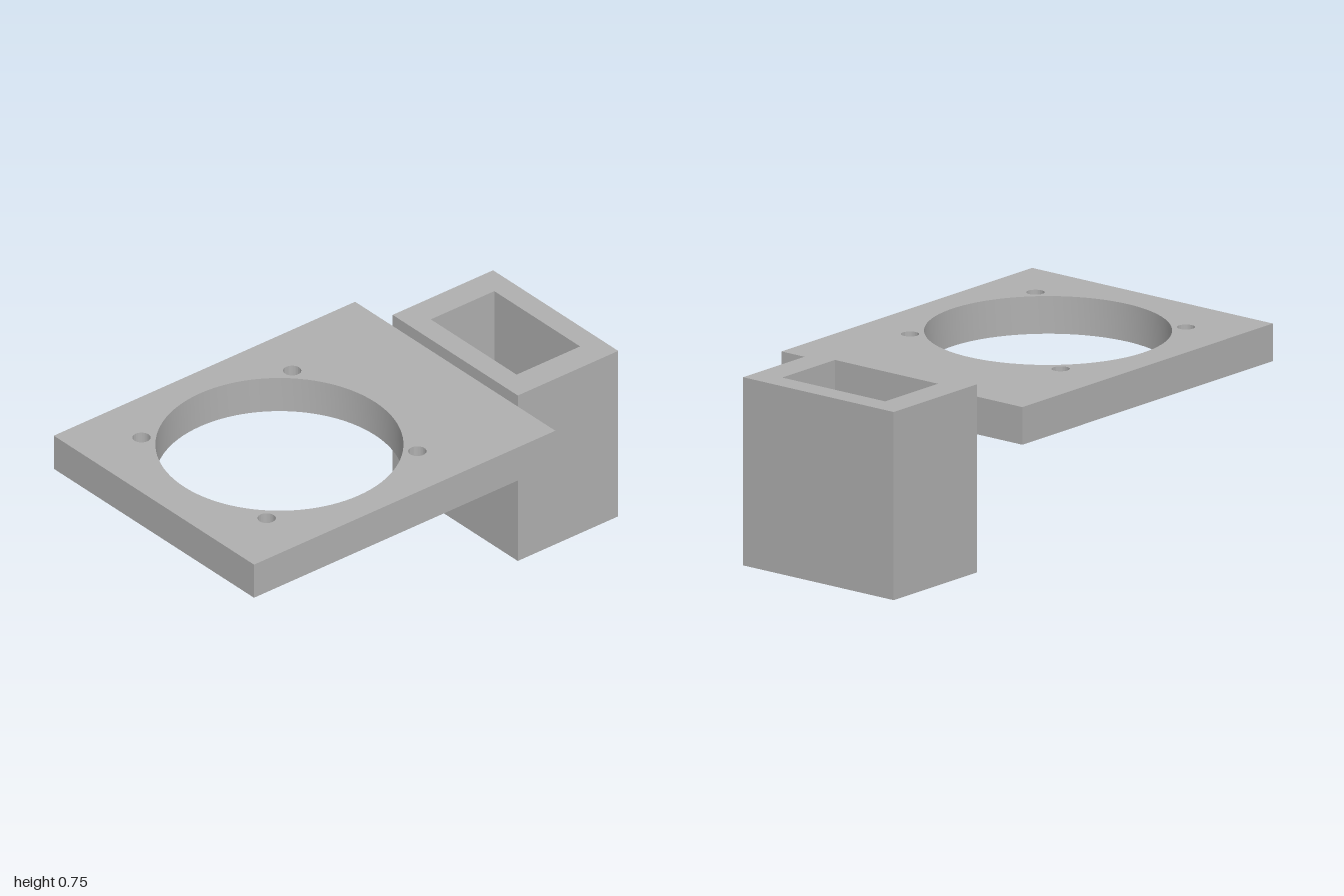
import * as THREE from 'three';
import { toCreasedNormals } from 'three/addons/utils/BufferGeometryUtils.js';

const grey = new THREE.MeshStandardMaterial({ color: 0xb0b0b0 });
grey.name = 'grey';

function polygon(points) {
  return new THREE.Shape(points.map(([x, y]) => new THREE.Vector2(x, y)));
}

function rectangle(x0, y0, x1, y1) {
  return polygon([[x0, y0], [x1, y0], [x1, y1], [x0, y1]]);
}

function drill(shape, x, y, radius) {
  shape.holes.push(new THREE.Path().absarc(x, y, radius, 0, Math.PI * 2, true));
}

function extrude(shape, depth) {
  return new THREE.ExtrudeGeometry(shape, { depth, bevelEnabled: false, curveSegments: 48 });
}

// Extrudes a plan drawn in x and z between two heights
function extrudePlan(shape, bottom, top) {
  return extrude(shape, top - bottom).rotateX(Math.PI / 2).translate(0, top, 0);
}

function part(name, geometry) {
  const mesh = new THREE.Mesh(toCreasedNormals(geometry, 0.5), grey);
  mesh.name = name;
  return mesh;
}

export function createModel() {
  const model = new THREE.Group();
  model.name = 'mountingBracket';

  // Flat plate with a large opening and four screw holes
  const plate = rectangle(-0.6, -0.5, 0.6, 1);
  drill(plate, 0, 0.375, 0.475);
  for (const x of [-0.375, 0.375]) {
    for (const z of [0, 0.75]) drill(plate, x, z, 0.035);
  }
  model.add(part('mountingPlate', extrudePlan(plate, 0.55, 0.7)));

  // Rectangular sleeve, open at top and bottom
  const sleeve = new THREE.Group();
  sleeve.name = 'sleeve';
  const w = 0.375, innerW = 0.257, back = -1, innerBack = -0.908, innerFront = -0.592, front = -0.5;

  // Back and side walls
  const walls = polygon([
    [-w, back], [w, back], [w, innerFront], [innerW, innerFront],
    [innerW, innerBack], [-innerW, innerBack], [-innerW, innerFront], [-w, innerFront],
  ]);
  sleeve.add(part('sleeveBackAndSides', extrudePlan(walls, 0, 0.75)));

  // Front wall with a set-screw hole into the cavity
  const frontWall = rectangle(-w, 0, w, 0.75);
  drill(frontWall, 0, 0.375, 0.043);
  sleeve.add(part('sleeveFrontWall', extrude(frontWall, front - innerFront).translate(0, 0, innerFront)));

  model.add(sleeve);
  return model;
}
